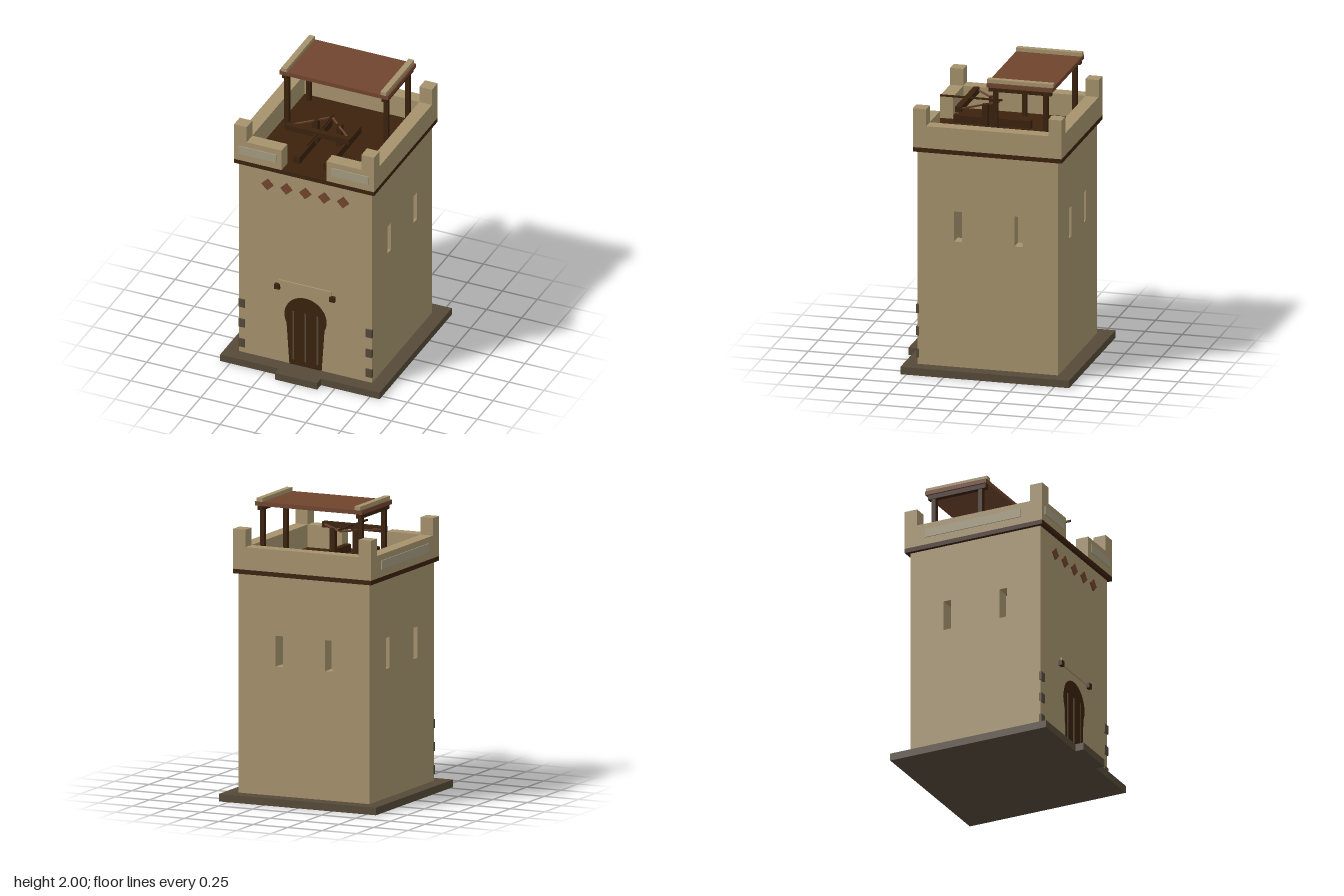
import * as THREE from 'three';

const material = (name, color) => {
  const m = new THREE.MeshStandardMaterial({ color });
  m.name = name;
  return m;
};

export function createModel() {
  const tower = new THREE.Group();
  tower.name = 'watchtower';

  const plaster = material('tan plaster', 0xa6936d);
  const stone = material('dark stone', 0x564a39);
  const wood = material('dark wood', 0x3b220e);
  const clay = material('red brown', 0x70452e);
  const panel = material('grey plaster', 0xa49b80);

  const add = (name, geometry, mat, parent = tower) => {
    const mesh = new THREE.Mesh(geometry, mat);
    mesh.name = name;
    parent.add(mesh);
    return mesh;
  };
  // Box given by its two extremes on each axis
  const box = (name, mat, x0, x1, y0, y1, z0, z1, parent) => {
    const mesh = add(name, new THREE.BoxGeometry(x1 - x0, y1 - y0, z1 - z0), mat, parent);
    mesh.position.set((x0 + x1) / 2, (y0 + y1) / 2, (z0 + z1) / 2);
    return mesh;
  };
  // The same box on both sides of x = 0
  const pair = (name, mat, x0, x1, ...rest) => {
    box(name + 'Left', mat, x0, x1, ...rest);
    box(name + 'Right', mat, -x1, -x0, ...rest);
  };

  // Plinth and doorstep
  box('plinth', stone, -0.57, 0.57, 0, 0.05, -0.6, 0.54);
  box('doorstep', stone, -0.15, 0.15, 0, 0.05, 0.54, 0.6);

  // Hollow walls with arrow slits on three sides
  const T = 0.09;
  const slitWall = (u0, u1, slits) => {
    const s = new THREE.Shape();
    s.moveTo(u0, 0.05).lineTo(u1, 0.05).lineTo(u1, 1.505).lineTo(u0, 1.505).closePath();
    for (const u of slits) {
      const h = new THREE.Path();
      h.moveTo(u - 0.027, 0.905).lineTo(u - 0.027, 1.11).lineTo(u + 0.027, 1.11).lineTo(u + 0.027, 0.905).closePath();
      s.holes.push(h);
    }
    return new THREE.ExtrudeGeometry(s, { depth: T, bevelEnabled: false });
  };
  for (const [name, x] of [['wallLeft', 0.475 - T], ['wallRight', -0.475]]) {
    const wall = add(name, slitWall(-0.45, 0.5, [-0.178, 0.232]), plaster);
    wall.rotation.y = Math.PI / 2;
    wall.position.x = x;
  }
  add('wallBack', slitWall(-0.475 + T, 0.475 - T, [-0.18, 0.18]), plaster).position.z = -0.5;
  box('wallFront', plaster, -0.475 + T, 0.475 - T, 0.05, 1.505, 0.45 - T, 0.45);

  // Horseshoe door with vertical strips
  const door = new THREE.Shape();
  door.moveTo(-0.115, 0.05).lineTo(0.115, 0.05).lineTo(0.135, 0.36);
  door.absarc(0, 0.425, 0.15, -0.45, Math.PI + 0.45, false);
  door.lineTo(-0.135, 0.36).closePath();
  const doorMesh = add('door', new THREE.ExtrudeGeometry(door, { depth: 0.004, bevelEnabled: false, curveSegments: 32 }), wood);
  doorMesh.position.z = 0.449;
  for (const x of [-0.087, 0, 0.087]) box('doorStrip', stone, x - 0.005, x + 0.005, 0.09, 0.46, 0.45, 0.456);

  // Lintel ledge and its beam ends
  box('lintel', plaster, -0.185, 0.185, 0.628, 0.677, 0.45, 0.46);
  pair('lintelEnd', wood, 0.178, 0.215, 0.61, 0.645, 0.45, 0.475);

  // Corner stones
  for (const y of [0.123, 0.275, 0.427]) pair('cornerStone', stone, 0.432, 0.477, y - 0.03, y + 0.03, 0.44, 0.46);

  // Row of diamonds
  for (let i = -2; i <= 2; i++) {
    const d = add('diamond', new THREE.BoxGeometry(0.06, 0.06, 0.014), clay);
    d.rotation.z = Math.PI / 4;
    d.position.set(i * 0.135, 1.386, 0.453);
  }

  // Roof deck, its edge showing as a dark band
  box('roofDeck', wood, -0.5, 0.5, 1.505, 1.535, -0.53, 0.475);

  // Parapet with a gap at the front and raised corners
  box('parapetBack', plaster, -0.41, 0.41, 1.535, 1.685, -0.53, -0.44);
  pair('parapetSide', plaster, 0.41, 0.5, 1.535, 1.685, -0.53, 0.475);
  pair('parapetFront', plaster, 0.16, 0.41, 1.535, 1.685, 0.385, 0.475);
  pair('merlonFront', plaster, 0.41, 0.5, 1.685, 1.8, 0.385, 0.475);
  pair('merlonBack', plaster, 0.41, 0.5, 1.685, 1.8, -0.53, -0.44);
  pair('frontPanel', panel, 0.197, 0.465, 1.585, 1.645, 0.475, 0.481);
  box('sidePanel', panel, -0.506, -0.5, 1.585, 1.645, -0.38, 0.32);

  // Canopy
  for (const z of [-0.385, -0.045]) pair('canopyPost', wood, 0.34, 0.37, 1.535, 1.92, z - 0.015, z + 0.015);
  pair('canopyBeam', wood, 0.338, 0.375, 1.917, 1.947, -0.425, -0.002);
  box('canopyRoof', clay, -0.388, 0.388, 1.947, 1.975, -0.437, 0.008);
  pair('canopyRail', plaster, 0.335, 0.375, 1.975, 2, -0.437, 0.008);

  // Siege bow on two skids
  pair('bowSkid', wood, 0.083, 0.125, 1.535, 1.587, -0.16, 0.362);
  pair('bowLeg', wood, 0.066, 0.103, 1.56, 1.735, 0.08, 0.118);
  box('bowArm', wood, -0.23, 0.228, 1.708, 1.746, 0.225, 0.265);
  box('bowStock', wood, -0.006, 0.006, 1.736, 1.747, 0.01, 0.428);
  for (const side of [-1, 1]) {
    const cord = add('bowString', new THREE.BoxGeometry(0.01, 0.01, 0.29), clay);
    cord.position.set(side * 0.105, 1.73, 0.13);
    cord.rotation.y = side * Math.atan2(0.21, 0.2);
  }

  return tower;
}
